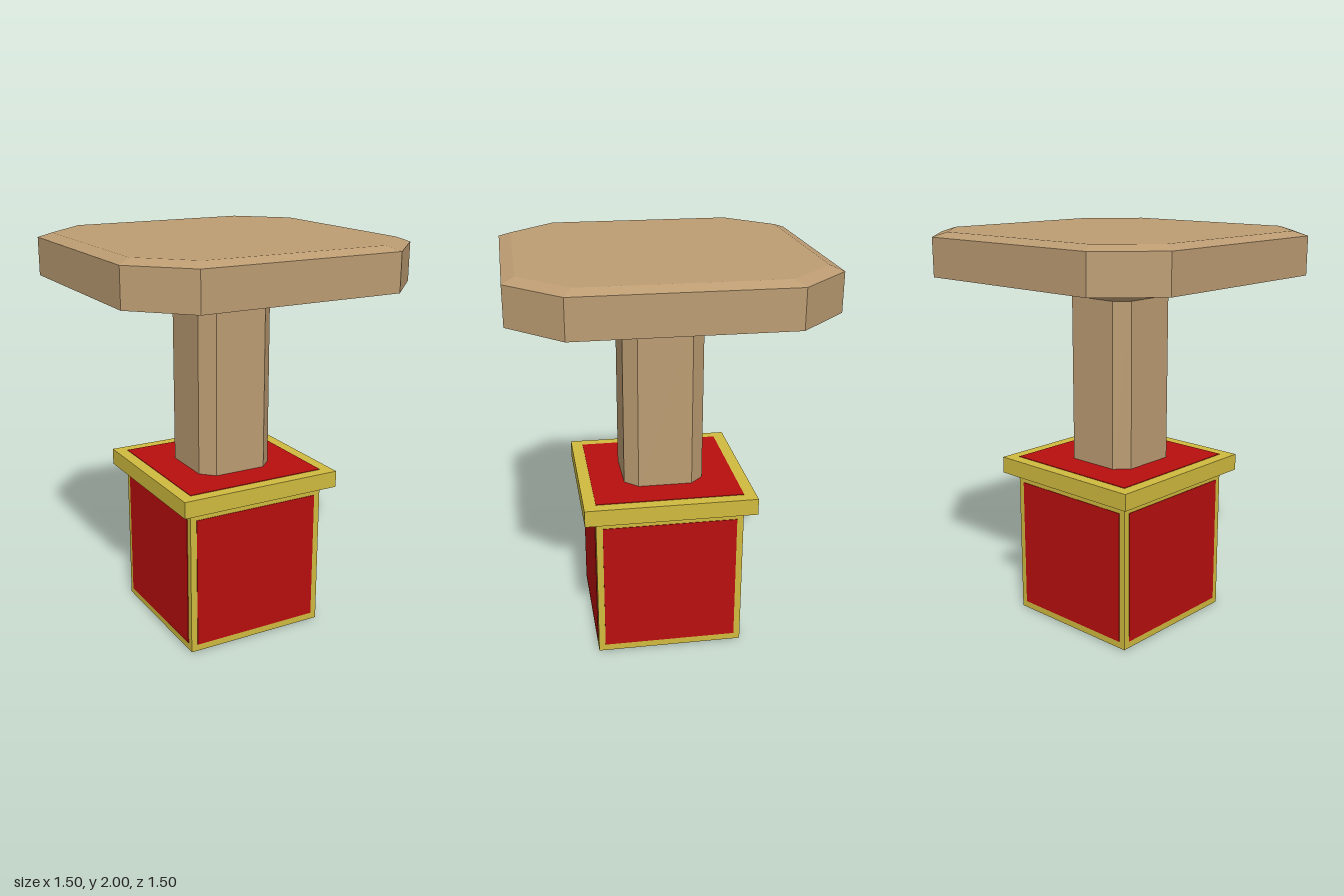
import * as THREE from 'three';

const wood = new THREE.MeshStandardMaterial({ name: 'wood', color: 0xbc9c72 });
const red = new THREE.MeshStandardMaterial({ name: 'red', color: 0xb80e0e });
const gold = new THREE.MeshStandardMaterial({ name: 'gold', color: 0xd0ba3e });

// Ring of a square with cut corners: half width h, half length of each flat side f
const ring = ([y, h, f]) =>
  [[h, f], [f, h], [-f, h], [-h, f], [-h, -f], [-f, -h], [f, -h], [h, -f]].map(([x, z]) => [x, y, z]);

// Faceted loft through the rings, closed at the top
function loft(sections) {
  const rings = sections.map(ring);
  const pos = [];
  for (let i = 0; i < 8; i++) {
    const j = (i + 1) % 8;
    for (let k = 0; k < rings.length - 1; k++) {
      const lo = rings[k], up = rings[k + 1];
      pos.push(...lo[i], ...up[i], ...lo[j], ...lo[j], ...up[i], ...up[j]);
    }
    const top = rings[rings.length - 1];
    pos.push(0, top[0][1], 0, ...top[j], ...top[i]);
  }
  const geo = new THREE.BufferGeometry();
  geo.setAttribute('position', new THREE.Float32BufferAttribute(pos, 3));
  geo.computeVertexNormals();
  return geo;
}

export function createModel() {
  const model = new THREE.Group();
  model.name = 'pedestalStool';
  const add = (name, geo, mat, x = 0, y = 0, z = 0) => {
    const mesh = new THREE.Mesh(geo, mat);
    mesh.name = name;
    mesh.position.set(x, y, z);
    model.add(mesh);
    return mesh;
  };

  // Gold base block and overhanging lid
  add('baseBlock', new THREE.BoxGeometry(0.738, 0.757, 0.738), gold, 0, 0.3815);
  add('baseLid', new THREE.BoxGeometry(0.854, 0.084, 0.854), gold, 0, 0.8);

  // Red panels on the four sides
  ['front', 'left', 'back', 'right'].forEach((side, i) => {
    const a = i * Math.PI / 2;
    const panel = add(side + 'Panel', new THREE.BoxGeometry(0.672, 0.672, 0.004), red,
      Math.sin(a) * 0.37, 0.374, Math.cos(a) * 0.37);
    panel.rotation.y = a;
  });

  // Red panels on the lid and underneath
  add('lidPanel', new THREE.BoxGeometry(0.734, 0.004, 0.734), red, 0, 0.843);
  add('bottomPanel', new THREE.BoxGeometry(0.73, 0.004, 0.73), red, 0, 0.002);

  // Post with cut corners
  add('post', loft([[0.83, 0.2, 0.135], [1.685, 0.2, 0.135]]), wood);

  // Flared collar, sloping underside, rim and bevelled top
  add('seat', loft([
    [1.68, 0.2, 0.135], [1.73, 0.25, 0.168], [1.79, 0.75, 0.505],
    [1.977, 0.75, 0.505], [2, 0.69, 0.465],
  ]), wood);

  return model;
}
